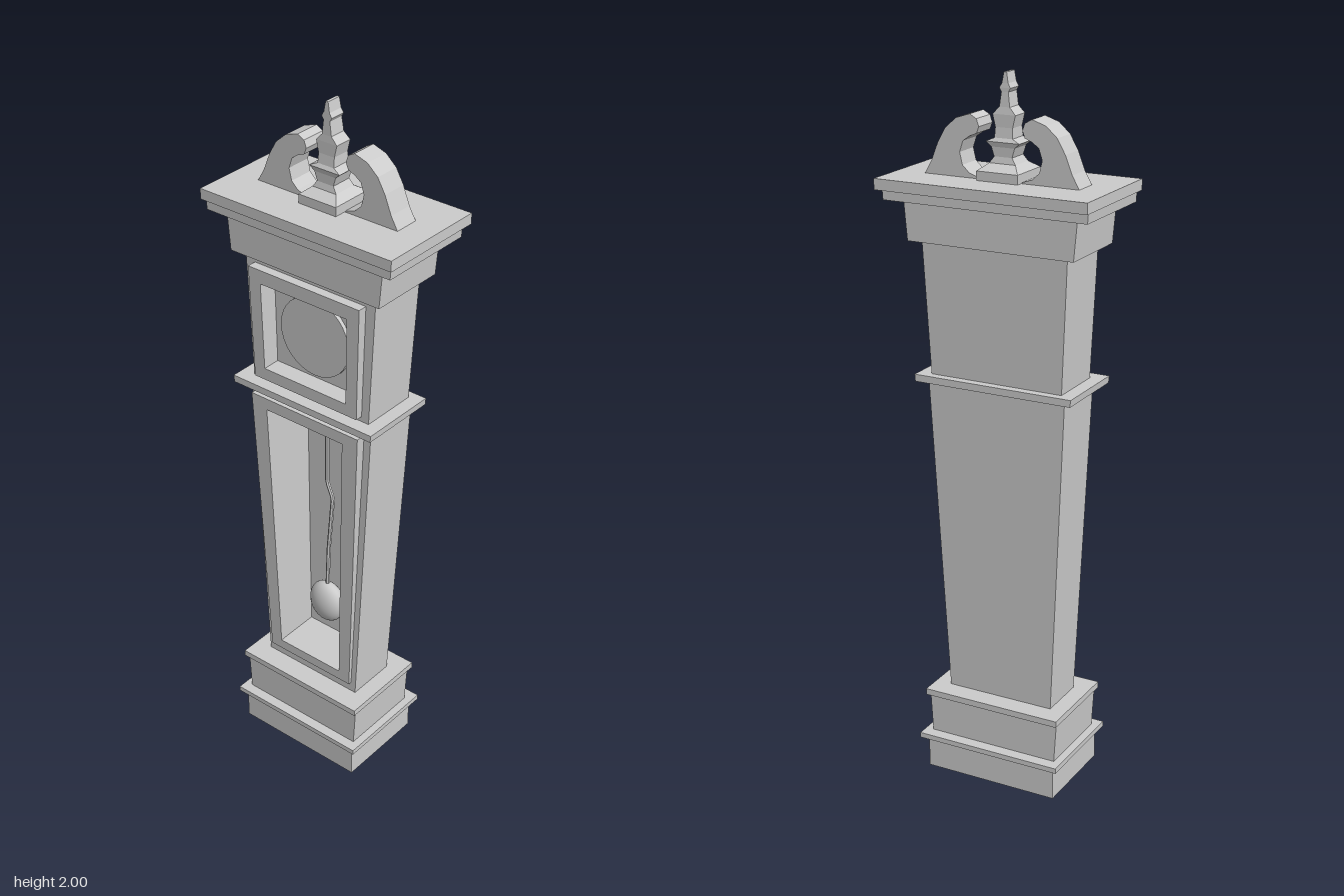
import * as THREE from 'three';

const flat = new THREE.MeshStandardMaterial({ color: 0xcccccc, flatShading: true });
const smooth = new THREE.MeshStandardMaterial({ color: 0xcccccc });

// Closed solid through rectangular sections [y, x0, x1, z0, z1], listed upwards
function loft(sections) {
  const pos = [], idx = [];
  for (const [y, x0, x1, z0, z1] of sections) {
    pos.push(x0, y, z1, x1, y, z1, x1, y, z0, x0, y, z0);
  }
  const quad = (a, b, c, d) => idx.push(a, b, c, a, c, d);
  const last = (sections.length - 1) * 4;
  for (let k = 0; k < last; k += 4) {
    for (let i = 0; i < 4; i++) {
      const j = (i + 1) % 4;
      quad(k + i, k + j, k + 4 + j, k + 4 + i);
    }
  }
  quad(3, 2, 1, 0);
  quad(last, last + 1, last + 2, last + 3);
  const indexed = new THREE.BufferGeometry();
  indexed.setAttribute('position', new THREE.Float32BufferAttribute(pos, 3));
  indexed.setIndex(idx);
  const geo = indexed.toNonIndexed();
  geo.computeVertexNormals();
  return geo;
}

// Tapered window frame; outline = [yBottom, halfBottom, yTop, halfTop]
function windowFrame(outer, inner, z0, frontBottom, frontTop) {
  const corners = ([yb, hb, yt, ht]) => [[-hb, yb], [hb, yb], [ht, yt], [-ht, yt]]
    .map(([x, y]) => new THREE.Vector2(x, y));
  const shape = new THREE.Shape(corners(outer));
  shape.holes.push(new THREE.Path(corners(inner).reverse()));
  const geo = new THREE.ExtrudeGeometry(shape, { depth: 1, bevelEnabled: false });
  const p = geo.attributes.position;
  for (let i = 0; i < p.count; i++) {
    const t = (p.getY(i) - outer[0]) / (outer[2] - outer[0]);
    const front = THREE.MathUtils.lerp(frontBottom, frontTop, t);
    p.setZ(i, p.getZ(i) > 0.5 ? front : z0);
  }
  geo.computeVertexNormals();
  return geo;
}

export function createModel() {
  const model = new THREE.Group();
  model.name = 'longcaseClock';
  const add = (name, geo, material = flat) => {
    const mesh = new THREE.Mesh(geo, material);
    mesh.name = name;
    model.add(mesh);
    return mesh;
  };

  // Symmetrical tiers: [name, y0, half0, y1, half1, zBack, zFront]
  const tiers = [
    ['plinth', 0, 0.2, 0.095, 0.2, -0.118, 0.153],
    ['plinthMoulding', 0.095, 0.218, 0.11, 0.218, -0.138, 0.17],
    ['base', 0.11, 0.195, 0.227, 0.202, -0.103, 0.14],
    ['baseMoulding', 0.227, 0.208, 0.245, 0.208, -0.118, 0.153],
    ['waistMoulding', 1.165, 0.233, 1.185, 0.235, -0.105, 0.13],
    ['frieze', 1.555, 0.243, 1.665, 0.253, -0.115, 0.115],
    ['lowerCornice', 1.665, 0.296, 1.695, 0.298, -0.147, 0.142],
    ['upperCornice', 1.695, 0.307, 1.725, 0.307, -0.172, 0.153],
  ];
  for (const [name, y0, h0, y1, h1, zb, zf] of tiers) {
    add(name, loft([[y0, -h0, h0, zb, zf], [y1, -h1, h1, zb, zf]]));
  }

  // Hollow trunk: back, floor, ceiling and two side walls
  add('trunkBack', loft([[0.245, -0.16, 0.16, -0.058, -0.035], [1.165, -0.205, 0.205, -0.08, -0.055]]));
  add('trunkFloor', loft([[0.24, -0.155, 0.155, -0.05, 0.09], [0.305, -0.155, 0.155, -0.05, 0.09]]));
  add('trunkCeiling', loft([[1.11, -0.2, 0.2, -0.07, 0.09], [1.17, -0.2, 0.2, -0.07, 0.09]]));
  for (const s of [1, -1]) {
    const wall = (y, inner, outer, zb) =>
      [y, Math.min(s * inner, s * outer), Math.max(s * inner, s * outer), zb, 0.09];
    add(s > 0 ? 'leftTrunkWall' : 'rightTrunkWall',
      loft([wall(0.245, 0.107, 0.16, -0.058), wall(1.165, 0.132, 0.205, -0.08)]));
  }
  add('trunkDoorFrame', windowFrame([0.275, 0.145, 1.145, 0.182], [0.305, 0.108, 1.11, 0.13], 0.085, 0.1, 0.118));

  // Hood with the recessed dial
  add('hoodBack', loft([[1.185, -0.196, 0.196, -0.08, 0.06], [1.555, -0.214, 0.214, -0.09, 0.06]]));
  add('hoodFront', windowFrame([1.185, 0.196, 1.555, 0.214], [1.235, 0.138, 1.49, 0.143], 0.06, 0.09, 0.09));
  add('hoodFrame', windowFrame([1.2, 0.173, 1.53, 0.183], [1.235, 0.138, 1.49, 0.143], 0.085, 0.112, 0.117));
  const dial = add('dial', new THREE.CylinderGeometry(0.114, 0.114, 0.015, 32));
  dial.rotation.x = Math.PI / 2;
  dial.position.set(0, 1.363, 0.064);

  // Pendulum: kinked rod and rounded bob
  const rod = new THREE.CurvePath();
  const kinks = [[0, 1.12], [0, 0.88], [0.02, 0.83], [0.005, 0.65], [0, 0.5]]
    .map(([x, y]) => new THREE.Vector3(x, y, 0.02));
  for (let i = 1; i < kinks.length; i++) rod.add(new THREE.LineCurve3(kinks[i - 1], kinks[i]));
  add('pendulumRod', new THREE.TubeGeometry(rod, 48, 0.006, 6));
  const bob = add('pendulumBob', new THREE.SphereGeometry(1, 24, 16), smooth);
  bob.scale.set(0.058, 0.066, 0.035);
  bob.position.set(0, 0.46, 0.02);

  // Pair of curled pediment scrolls
  const scroll = [[0.228, 1.72], [0.205, 1.76], [0.185, 1.81], [0.162, 1.85], [0.13, 1.878],
    [0.09, 1.891], [0.07, 1.88], [0.063, 1.86], [0.07, 1.842], [0.09, 1.834], [0.11, 1.82],
    [0.12, 1.79], [0.112, 1.757], [0.092, 1.738], [0.062, 1.728], [0.062, 1.72]];
  for (const s of [1, -1]) {
    const shape = new THREE.Shape(scroll.map(([x, y]) => new THREE.Vector2(s * x, y)));
    const geo = new THREE.ExtrudeGeometry(shape, { depth: 0.073, bevelEnabled: false });
    add(s > 0 ? 'leftScroll' : 'rightScroll', geo.translate(0, 0, -0.05));
  }

  // Four-sided finial: [y, halfWidth, zBack, zFront]
  const finial = [[1.72, 0.06, -0.07, 0.058], [1.75, 0.06, -0.07, 0.058], [1.768, 0.038, -0.04, 0.03],
    [1.785, 0.026, -0.036, 0.026], [1.81, 0.034, -0.037, 0.027], [1.823, 0.049, -0.04, 0.03],
    [1.833, 0.026, -0.034, 0.024], [1.86, 0.025, -0.031, 0.021], [1.893, 0.033, -0.031, 0.021],
    [1.912, 0.015, -0.028, 0.02], [1.95, 0.01, -0.026, 0.02], [1.96, 0.016, -0.026, 0.02],
    [1.972, 0.009, -0.025, 0.02], [2, 0.004, -0.024, 0.019]];
  add('finial', loft(finial.map(([y, h, zb, zf]) => [y, -h, h, zb, zf])));

  return model;
}
